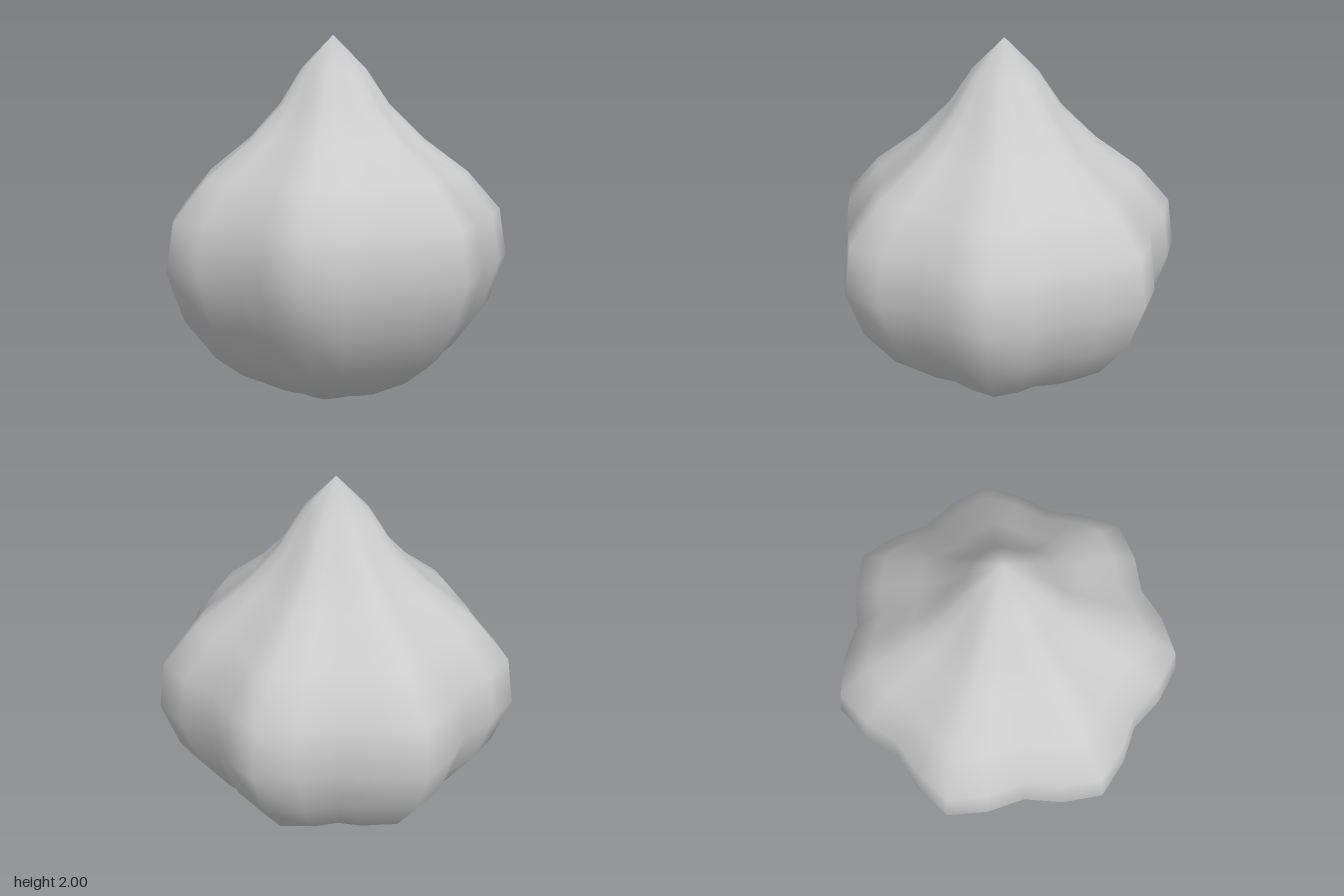
import * as THREE from 'three';
import { mergeVertices } from 'three/addons/utils/BufferGeometryUtils.js';

const LOBES = 7;

// Ridge profile as [radius, height], from the base to the tip
const PROFILE = [
  [0, 0], [0.165, 0.02], [0.33, 0.055], [0.565, 0.175], [0.715, 0.29], [0.89, 0.52],
  [0.98, 0.78], [0.94, 1.04], [0.755, 1.25], [0.5, 1.44], [0.308, 1.63], [0.18, 1.82], [0, 2],
];

export function createModel() {
  const group = new THREE.Group();
  group.name = 'bulb';

  // Turned drop shape with four segments per lobe
  const lathe = new THREE.LatheGeometry(PROFILE.map(([r, y]) => new THREE.Vector2(r, y)), LOBES * 4);

  // Press grooves between the lobes, fading out towards the tip
  const pos = lathe.attributes.position;
  for (let i = 0; i < pos.count; i++) {
    const x = pos.getX(i), y = pos.getY(i), z = pos.getZ(i);
    const depth = 0.066 * (1 - 0.75 * THREE.MathUtils.smoothstep(y, 1.35, 1.85));
    const scale = 1 - depth * (1 - Math.cos(LOBES * Math.atan2(x, z)));
    pos.setXYZ(i, x * scale, y, z * scale);
  }

  // Weld the seam and poles for smooth shading
  lathe.deleteAttribute('normal');
  lathe.deleteAttribute('uv');
  const geometry = mergeVertices(lathe, 1e-4);
  geometry.computeVertexNormals();

  const body = new THREE.Mesh(geometry, new THREE.MeshStandardMaterial({ color: 0xcccccc }));
  body.name = 'lobedBody';
  body.position.z = -0.04;
  group.add(body);
  return group;
}
